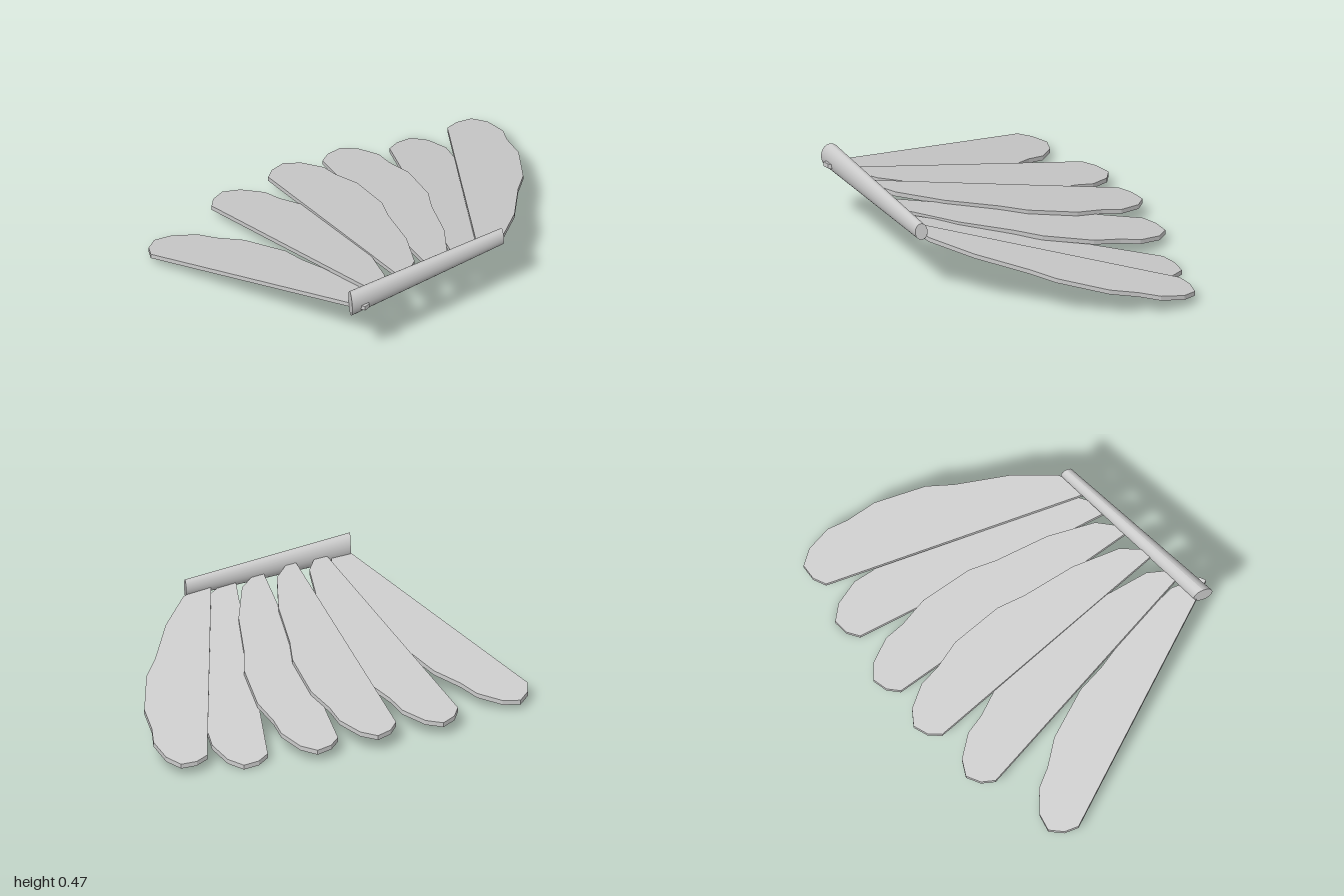
import * as THREE from 'three';

// Feather outline: u runs from tip corner to root, v from straight edge to curved edge
const OUTLINE = [
  [0, 0], [1.405, 0], [1.405, 0.035], [1.296, 0.143], [1.057, 0.231],
  [0.775, 0.282], [0.63, 0.325], [0.355, 0.332], [0.2, 0.29], [0.09, 0.28],
  [-0.03, 0.212], [-0.083, 0.134], [-0.055, 0.053],
].map(([u, v]) => new THREE.Vector2(u, v));

const THICKNESS = 0.025;

// Tip corner (x, y, z), heading (dz per dx), rise along u, tilt along v
const FEATHERS = [
  [-0.76, 0.055, 0.98, -0.03, 0.232, -0.07],
  [-0.76, 0.075, 0.485, 0.237, 0.22, -0.02],
  [-0.68, 0.085, 0.12, 0.389, 0.212, 0],
  [-0.57, 0.06, -0.19, 0.512, 0.215, 0],
  [-0.40, 0.02, -0.53, 0.736, 0.235, 0],
  [-0.25, 0.055, -0.82, 0.969, 0.215, 0.03],
];

function makeFeather([x, y, z, heading, rise, tilt], material) {
  const geometry = new THREE.ExtrudeGeometry(new THREE.Shape(OUTLINE), {
    depth: THICKNESS, bevelEnabled: false,
  });
  const len = Math.hypot(1, heading);
  const dx = 1 / len, dz = heading / len;
  const placement = new THREE.Matrix4().makeBasis(
    new THREE.Vector3(dx, rise, dz),
    new THREE.Vector3(dz, tilt, -dx),
    new THREE.Vector3(0, 1, 0),
  ).setPosition(x, y, z);
  geometry.applyMatrix4(placement);
  return new THREE.Mesh(geometry, material);
}

// Tapered oval bar with slanted ends, made by moving a cylinder's vertices
function makeArm(material) {
  const geometry = new THREE.CylinderGeometry(1, 1, 1, 24);
  const front = new THREE.Vector3(0.567, 0.405, 0.965);
  const back = new THREE.Vector3(0.803, 0.392, 0.013);
  const pos = geometry.attributes.position;
  const p = new THREE.Vector3();
  for (let i = 0; i < pos.count; i++) {
    const side = pos.getX(i), up = pos.getZ(i), t = pos.getY(i) + 0.5;
    p.lerpVectors(front, back, t);
    p.x += side * THREE.MathUtils.lerp(0.04, 0.027, t);
    p.z += side * THREE.MathUtils.lerp(0.032, 0.018, t);
    p.y += up * THREE.MathUtils.lerp(0.07, 0.047, t);
    pos.setXYZ(i, p.x, p.y, p.z);
  }
  geometry.computeVertexNormals();
  return new THREE.Mesh(geometry, material);
}

export function createModel() {
  const group = new THREE.Group();
  group.name = 'featheredWing';
  const material = new THREE.MeshStandardMaterial({ color: 0xcccccc });

  const arm = makeArm(material);
  arm.name = 'wingArm';
  group.add(arm);

  FEATHERS.forEach((spec, i) => {
    const feather = makeFeather(spec, material);
    feather.name = `feather${i + 1}`;
    group.add(feather);
  });
  return group;
}
